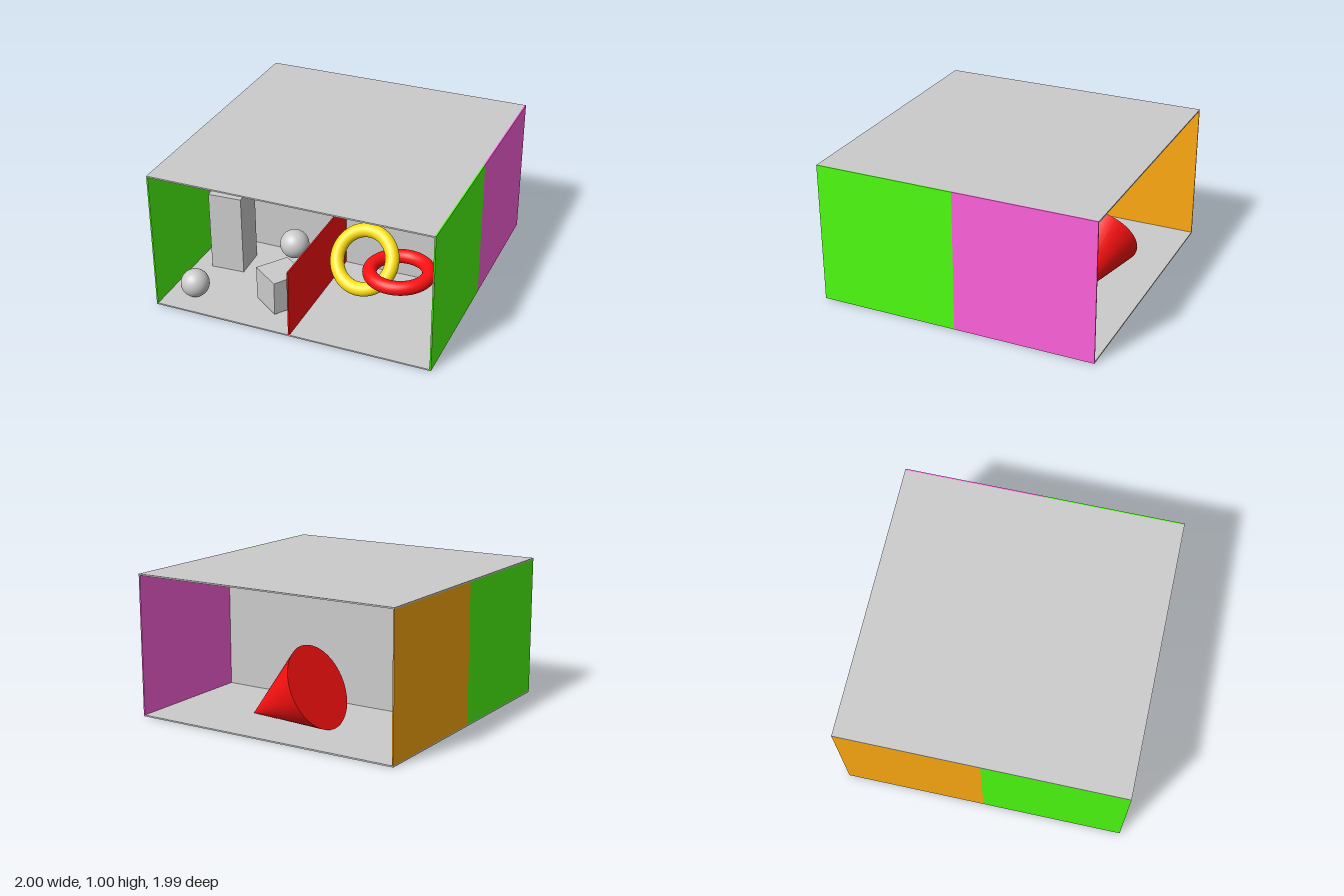
import * as THREE from 'three';

const GREY = 0xcccccc, GREEN = 0x4eff11, PINK = 0xff62dd;
const ORANGE = 0xffaa11, RED = 0xff1111, YELLOW = 0xffe011;
const T = 0.01; // panel thickness
const TOP = 1.005; // overall height

export function createModel() {
  const room = new THREE.Group();
  room.name = 'room';

  function add(name, geometry, color, x, y, z) {
    const mesh = new THREE.Mesh(geometry, new THREE.MeshStandardMaterial({ color }));
    mesh.name = name;
    mesh.position.set(x, y, z);
    room.add(mesh);
    return mesh;
  }

  // box given by its two opposite corners
  function panel(name, color, [x0, y0, z0], [x1, y1, z1]) {
    return add(name, new THREE.BoxGeometry(x1 - x0, y1 - y0, z1 - z0), color,
      (x0 + x1) / 2, (y0 + y1) / 2, (z0 + z1) / 2);
  }

  // shell: floor, ceiling, and a cross wall between the front and back rooms
  const inner = 1 - T;
  panel('floor', GREY, [-1, 0, -0.995], [inner, T, 0.995]);
  panel('ceiling', GREY, [-1, TOP - T, -0.995], [inner, TOP, 0.995]);
  panel('crossWall', GREY, [-inner, T, -T / 2], [inner, TOP - T, T / 2]);

  // side walls, one colour per room
  panel('leftFrontWall', GREEN, [inner, 0, 0], [1, TOP, 0.995]);
  panel('leftBackWall', PINK, [inner, 0, -0.995], [1, TOP, 0]);
  panel('rightFrontWall', GREEN, [-1, T, 0], [-inner, TOP - T, 0.995]);
  panel('rightBackWall', ORANGE, [-1, T, -0.995], [-inner, TOP - T, 0]);

  // half-height divider in the front room
  panel('divider', RED, [-T / 2, T, T / 2], [T / 2, 0.5, 0.995]);

  // blocks and balls
  const tall = add('tallBlock', new THREE.BoxGeometry(0.245, 0.595, 0.245), GREY, -0.749, 0.3045, 0.3);
  tall.rotation.y = 0.05;
  const cube = add('cube', new THREE.BoxGeometry(0.245, 0.246, 0.245), GREY, -0.203, 0.155, 0.67);
  cube.rotation.y = -0.617;
  const ball = new THREE.SphereGeometry(0.1, 40, 28);
  add('floorBall', ball, GREY, -0.8, 0.107, 0.8);
  add('floatingBall', ball, GREY, -0.17, 0.405, 0.505);

  // linked rings
  const ring = new THREE.TorusGeometry(0.199, 0.048, 28, 72);
  const yellowRing = add('yellowRing', ring, YELLOW, 0.36, 0.427, 0.545);
  yellowRing.quaternion.setFromUnitVectors(
    new THREE.Vector3(0, 0, 1), new THREE.Vector3(-0.08, 0.57, 0.82).normalize());
  const redRing = add('redRing', ring, RED, 0.608, 0.388, 0.54);
  redRing.rotation.x = Math.PI / 2;

  // cone lying on its side in the back room, tip towards the left wall
  const radius = 0.3, height = 0.6;
  const lean = Math.atan2(radius, height);
  const cone = add('cone', new THREE.ConeGeometry(radius, height, 40), RED,
    0.382 - height / 2 * Math.cos(lean), T + height / 2 * Math.sin(lean), -0.55);
  cone.rotation.z = -Math.PI / 2 - lean;

  return room;
}
